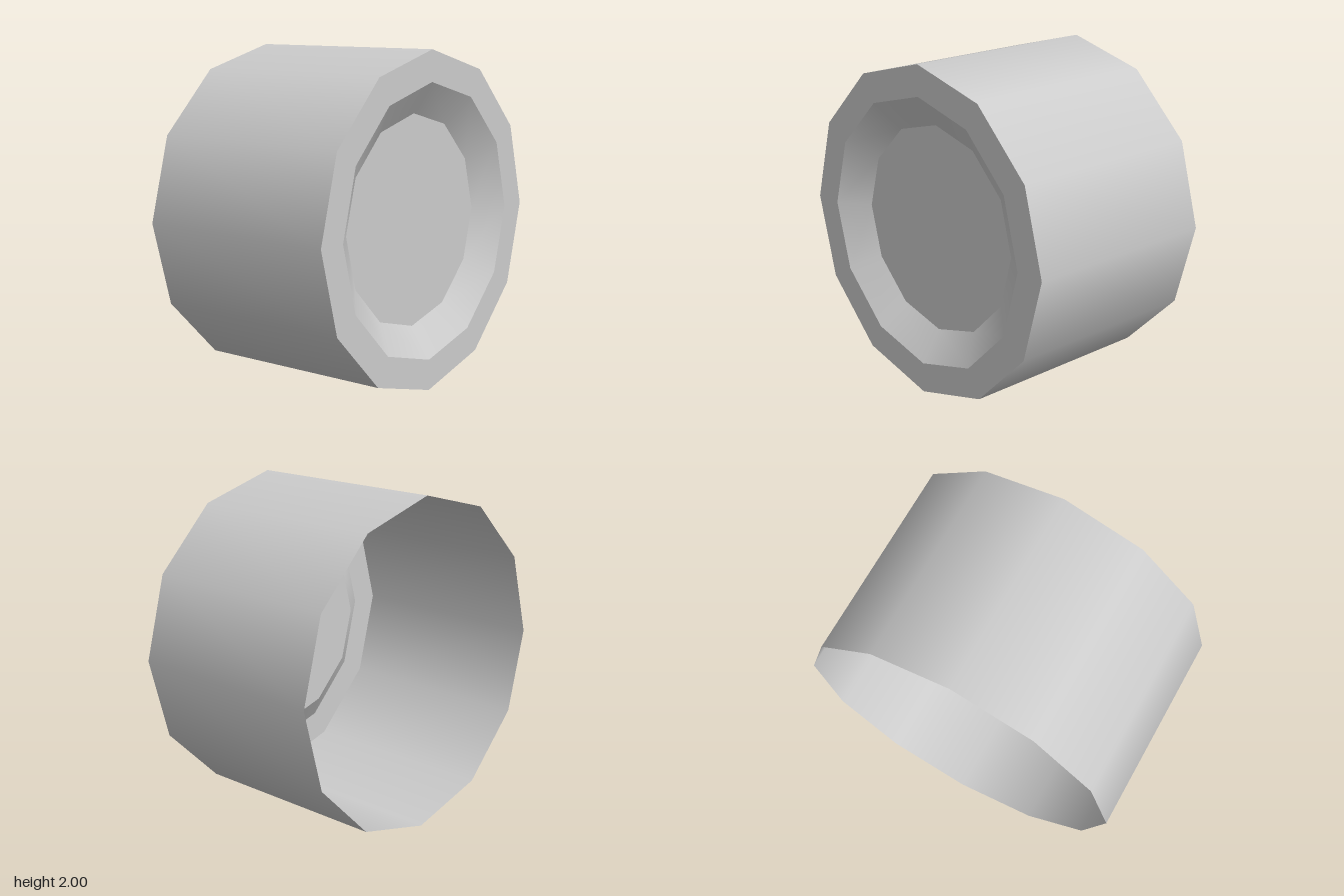
import * as THREE from 'three';

const SIDES = 12;      // corners at top, bottom, left and right
const FRONT = 0.63;    // half depth of the cup
const RIM = 0.815;     // inner radius of the front rim
const DISH = 0.63;     // radius of the recessed disc
const RECESS = 0.126;  // how far the disc is set back

export function createModel() {
  const grey = new THREE.MeshStandardMaterial({ color: 0xcccccc, side: THREE.DoubleSide });
  grey.name = 'grey';

  const model = new THREE.Group();
  model.name = 'openCup';

  const add = (name, geometry, z) => {
    const mesh = new THREE.Mesh(geometry, grey);
    mesh.name = name;
    mesh.position.set(0, 1, z);
    model.add(mesh);
  };

  // Open tube whose axis runs along z
  const tube = (frontRadius, backRadius, depth) =>
    new THREE.CylinderGeometry(frontRadius, backRadius, depth, SIDES, 1, true).rotateX(Math.PI / 2);

  // Outer wall, open at the back
  add('outerWall', tube(1, 1, FRONT * 2), 0);

  // Closed front: flat rim, sloping recess and flat disc
  add('frontRim', new THREE.RingGeometry(RIM, 1, SIDES), FRONT);
  add('recessSlope', tube(RIM, DISH, RECESS), FRONT - RECESS / 2);
  add('recessedDisc', new THREE.CircleGeometry(DISH, SIDES), FRONT - RECESS);

  return model;
}
